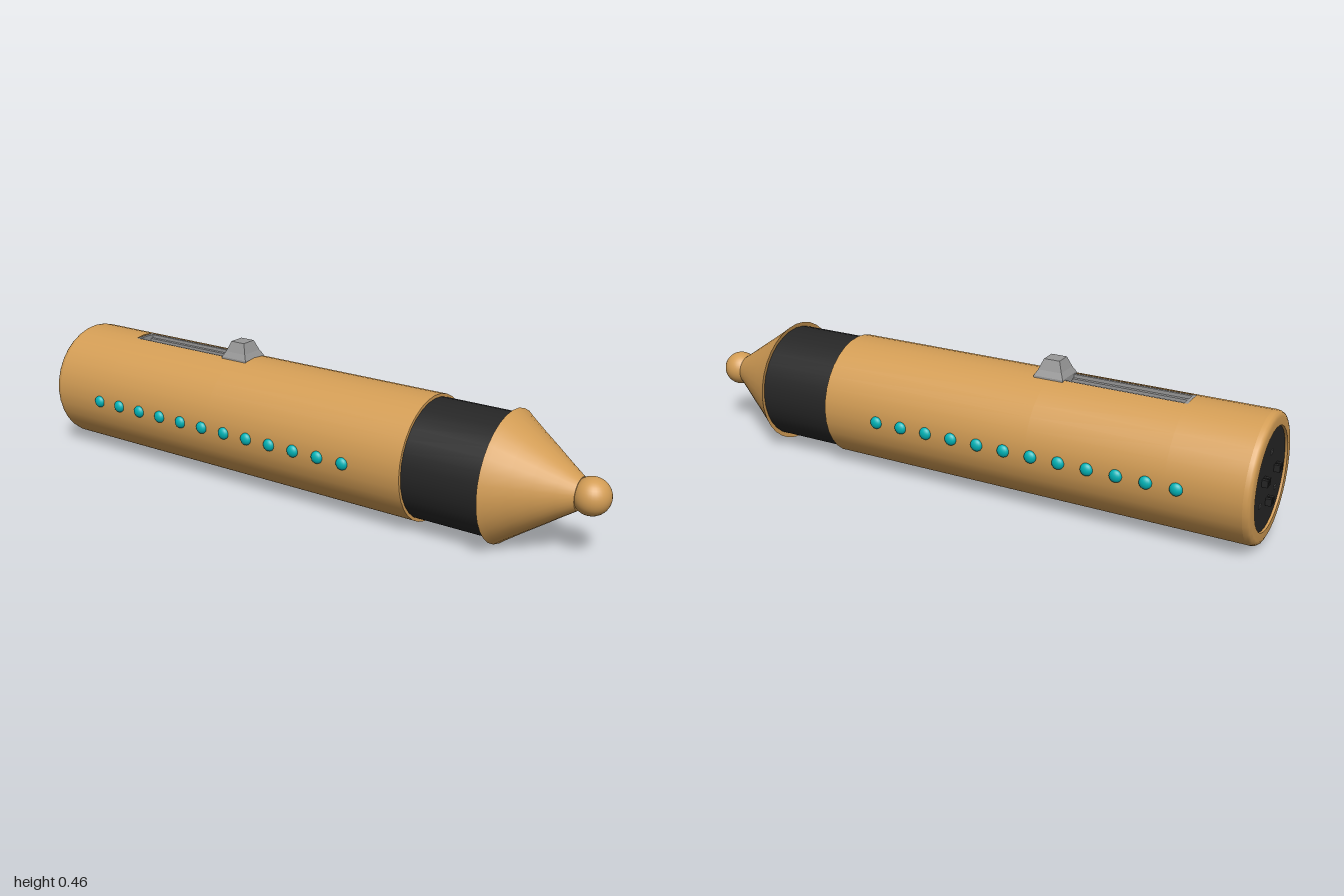
import * as THREE from 'three';

const mat = (color, extra = {}) => new THREE.MeshStandardMaterial({ color, ...extra });
const CY = 0.205; // height of the long axis
const SIDES = 32;
const STEP = (Math.PI * 2) / SIDES;

export function createModel() {
  const root = new THREE.Group();
  const tan = mat(0xd39d55, { side: THREE.DoubleSide });
  const black = mat(0x262626);
  const teal = mat(0x00b4b8);
  const grey = mat(0x999999);
  const greyFlat = mat(0x999999, { flatShading: true });
  const darkGrey = mat(0x555555);

  const add = (name, geo, material, x = 0, y = 0, z = 0, parent = root) => {
    const m = new THREE.Mesh(geo, material);
    m.name = name;
    m.position.set(x, y, z);
    parent.add(m);
    return m;
  };
  // Lathe along z from [radius, z] pairs; a repeated pair makes a sharp edge.
  // gap = number of sides left open at the top.
  const turned = (name, pts, material, gap = 0) => {
    const geo = new THREE.LatheGeometry(
      pts.map(([r, z]) => new THREE.Vector2(r, z)),
      SIDES - gap, Math.PI + (gap * STEP) / 2, Math.PI * 2 - gap * STEP);
    geo.rotateX(Math.PI / 2);
    return add(name, geo, material, 0, CY, 0);
  };
  const box = (name, w, h, d, x, y, z, material, parent) =>
    add(name, new THREE.BoxGeometry(w, h, d), material, x, y, z, parent);

  // Handle: rounded rear with a recess, slotted middle, plain front
  const slotBack = -0.74, slotFront = -0.3;
  turned('handleRear', [
    [0.158, -0.97], [0.158, -0.99], [0.158, -0.99], [0.183, -0.99],
    [0.193, -0.986], [0.198, -0.979], [0.2, -0.968], [0.2, -0.968], [0.2, slotBack],
  ], tan);
  turned('handleMiddle', [[0.2, slotBack], [0.2, slotFront]], tan, 2);
  turned('handleFront', [[0.2, slotFront], [0.2, 0.43], [0.2, 0.43], [0.18, 0.43]], tan);

  // Collar and flared nose
  turned('collar', [[0.19, 0.42], [0.19, 0.69]], black);
  turned('noseCone', [
    [0.18, 0.69], [0.205, 0.685], [0.205, 0.685], [0.192, 0.702],
    [0.155, 0.755], [0.118, 0.81], [0.08, 0.865], [0.05, 0.91], [0.05, 0.91], [0, 0.91],
  ], tan);
  add('noseBall', new THREE.SphereGeometry(0.057, 32, 20), tan, 0, CY + 0.001, 0.943);

  // Rear socket plate with two triads of contacts
  const plate = new THREE.CircleGeometry(0.16, SIDES);
  plate.rotateY(Math.PI);
  add('rearPlate', plate, black, 0, CY, -0.982);
  [[-0.06, 0.015], [0.06, 0.015], [0, -0.068]].forEach(([x, y]) => {
    for (const s of [-1, 1]) {
      box('rearPin', 0.012, 0.022, 0.03, x + s * 0.009, CY + y, -0.985, black);
    }
    box('rearPinBridge', 0.008, 0.01, 0.02, x, CY + y, -0.985, darkGrey);
  });
  [[0, 0.083], [-0.075, -0.056], [0.075, -0.056]].forEach(([x, y]) =>
    box('rearContact', 0.016, 0.012, 0.012, x, CY + y, -0.979, darkGrey));

  // Recessed slider track
  const track = new THREE.Group();
  track.name = 'sliderTrack';
  root.add(track);
  const len = slotFront - slotBack, mid = (slotFront + slotBack) / 2;
  box('trackFloor', 0.08, 0.01, len, 0, 0.365, mid, darkGrey, track);
  box('trackRib', 0.012, 0.015, len - 0.03, 0, 0.376, mid, grey, track);
  for (const s of [-1, 1]) {
    box('trackWall', 0.009, 0.04, len, s * 0.0345, 0.38, mid, grey, track);
    box('trackLedge', 0.012, 0.022, len, s * 0.025, 0.378, mid, grey, track);
  }
  box('trackEnd', 0.078, 0.04, 0.012, 0, 0.381, slotBack + 0.006, grey, track);
  box('trackEnd', 0.078, 0.04, 0.012, 0, 0.381, slotFront - 0.006, grey, track);

  // Slider knob: stacked square frusta
  const knob = new THREE.Group();
  knob.name = 'sliderKnob';
  knob.position.set(0, 0, -0.3);
  root.add(knob);
  const frustum = (name, bottom, top, y0, y1) => {
    const geo = new THREE.CylinderGeometry(top * Math.SQRT2, bottom * Math.SQRT2, y1 - y0, 4);
    geo.rotateY(Math.PI / 4);
    add(name, geo, greyFlat, 0, (y0 + y1) / 2, 0, knob);
  };
  frustum('knobFoot', 0.05, 0.049, 0.385, 0.404);
  frustum('knobSkirt', 0.049, 0.039, 0.404, 0.422);
  frustum('knobTop', 0.039, 0.026, 0.422, 0.455);

  // Row of flattened beads along each flank
  const bead = new THREE.SphereGeometry(0.02, 16, 12);
  bead.scale(0.65, 1, 1);
  for (const s of [-1, 1]) {
    for (let i = 0; i < 12; i++) {
      add(s > 0 ? 'leftBead' : 'rightBead', bead, teal, s * 0.2, CY, 0.23 - i * 0.0915);
    }
  }
  return root;
}
